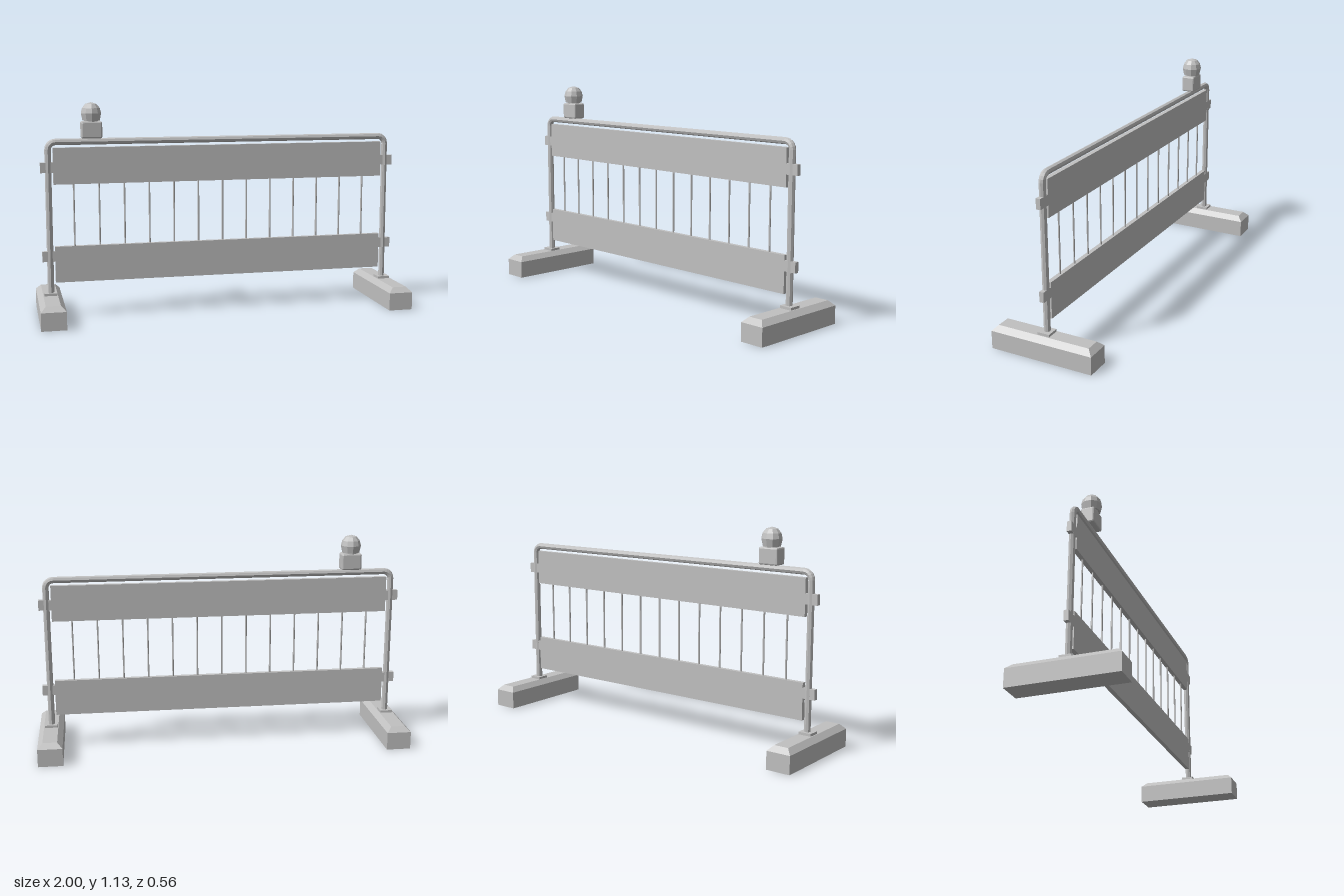
import * as THREE from 'three';
import { RoundedBoxGeometry } from 'three/addons/geometries/RoundedBoxGeometry.js';

export function createModel() {
  const model = new THREE.Group();
  model.name = 'barrier';
  const grey = new THREE.MeshStandardMaterial({ color: 0xc0c0c0, flatShading: true });
  grey.name = 'grey';

  const add = (name, geometry, x = 0, y = 0, z = 0) => {
    const mesh = new THREE.Mesh(geometry, grey);
    mesh.name = name;
    mesh.position.set(x, y, z);
    model.add(mesh);
    return mesh;
  };

  // Foot block: a box whose top ring is drawn in to form the bevel
  const footGeometry = () => {
    const w = 0.13, h = 0.122, d = 0.56, bevel = 0.027;
    const g = new THREE.BoxGeometry(w, h, d, 1, 2, 1).translate(0, h / 2, 0);
    const p = g.attributes.position;
    for (let i = 0; i < p.count; i++) {
      const y = p.getY(i);
      if (y > h * 0.9) {
        p.setX(i, p.getX(i) - Math.sign(p.getX(i)) * bevel);
        p.setZ(i, p.getZ(i) - Math.sign(p.getZ(i)) * bevel);
      } else if (y > h * 0.1) p.setY(i, h - bevel);
    }
    return g;
  };

  const postX = 0.931, topY = 0.931, tube = 0.017, bend = 0.04;
  const postBottom = 0.12, postTop = topY - bend;

  for (const side of [-1, 1]) {
    const name = side > 0 ? 'left' : 'right';
    add(name + 'Foot', footGeometry(), side * 0.935);
    add(name + 'BasePlate', new THREE.BoxGeometry(0.068, 0.016, 0.064), side * 0.934, 0.127);
    add(name + 'Post', new THREE.CylinderGeometry(tube, tube, postTop - postBottom, 8, 1, true),
      side * postX, (postTop + postBottom) / 2);

    // Quarter bend joining post and top rail
    const corner = add(name + 'Bend', new THREE.TorusGeometry(bend, tube, 8, 5, Math.PI / 2),
      side * (postX - bend), postTop);
    if (side < 0) corner.rotation.y = Math.PI;

    // Brackets holding the panels to the post
    for (const y of [0.328, 0.798])
      add(name + 'Bracket', new THREE.BoxGeometry(0.07, 0.054, 0.024), side * 0.937, y);
  }

  const railLength = 2 * (postX - bend);
  add('topRail', new THREE.CylinderGeometry(tube, tube, railLength, 8, 1, true), 0, topY)
    .rotation.z = Math.PI / 2;

  // Boards and the thin bars between them
  add('lowerBoard', new THREE.BoxGeometry(1.81, 0.192, 0.024), 0, 0.284);
  add('upperBoard', new THREE.BoxGeometry(1.81, 0.192, 0.024), 0, 0.805);
  for (let i = -6; i <= 6; i++)
    add('bar', new THREE.CylinderGeometry(0.005, 0.005, 0.35, 6), i * 0.1335, 0.545);

  // Warning lamp on the top rail
  const lampX = -0.703;
  add('lampHousing', new RoundedBoxGeometry(0.109, 0.088, 0.073, 1, 0.008), lampX, 0.992);
  add('lampNeck', new THREE.CylinderGeometry(0.036, 0.036, 0.012, 10), lampX, 1.039);
  const profile = [[0, 1.04], [0.046, 1.04], [0.054, 1.078], [0.047, 1.105], [0.03, 1.126], [0, 1.135]];
  add('lampLens', new THREE.LatheGeometry(profile.map(([r, y]) => new THREE.Vector2(r, y)), 10), lampX);

  return model;
}
